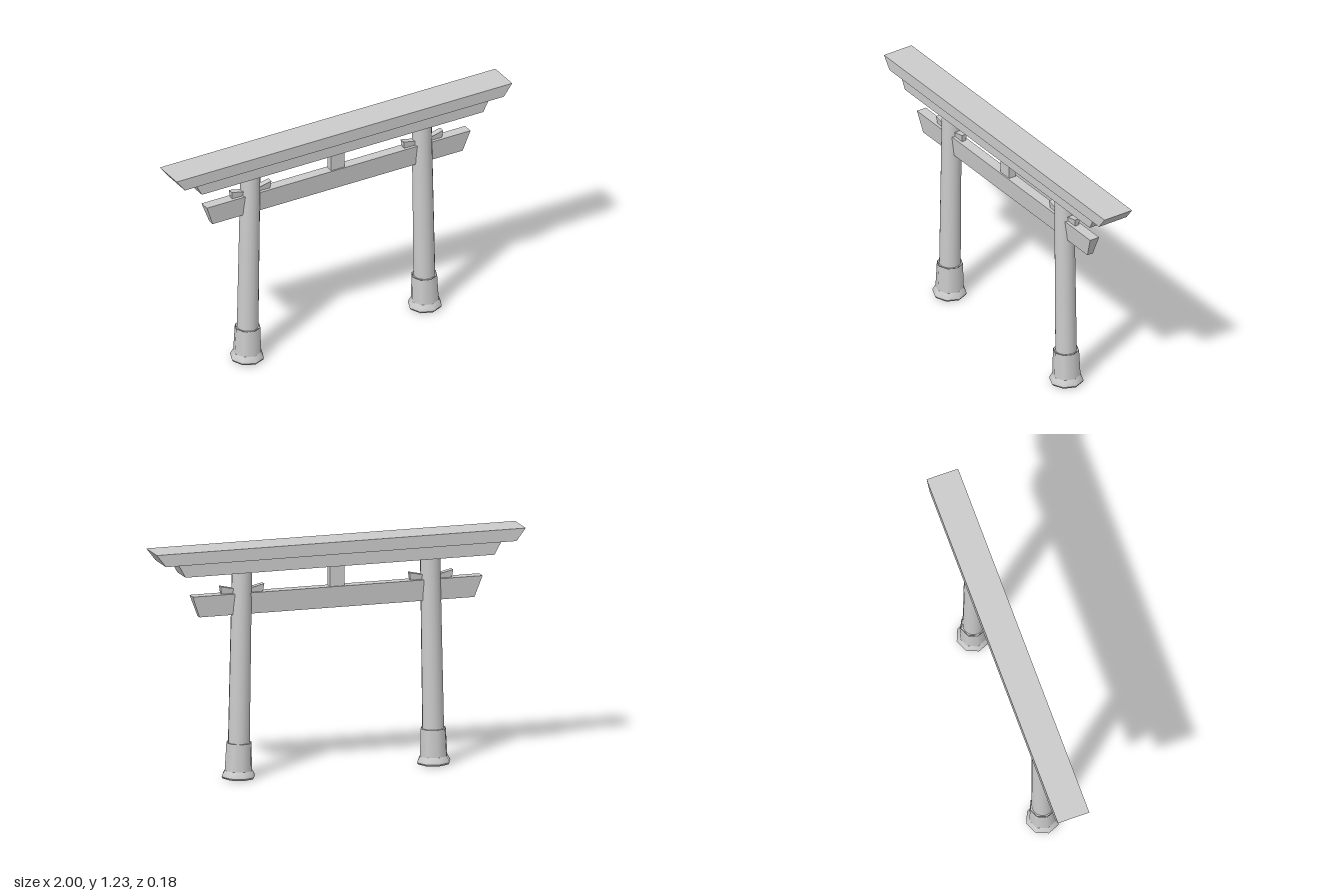
import * as THREE from 'three';

const material = new THREE.MeshStandardMaterial({ color: 0xcccccc, flatShading: true });
const roundMaterial = new THREE.MeshStandardMaterial({ color: 0xcccccc, side: THREE.DoubleSide });

function addMesh(parent, name, geometry, mat = material) {
  const mesh = new THREE.Mesh(geometry, mat);
  mesh.name = name;
  parent.add(mesh);
  return mesh;
}

// Beam whose half-length and half-depth differ between bottom and top;
// dip lowers the middle of the top edge.
function beam(y0, y1, bottom, top, dip = 0) {
  const geometry = new THREE.BoxGeometry(2, 1, 2, dip ? 2 : 1, 1, 1);
  const p = geometry.attributes.position;
  for (let i = 0; i < p.count; i++) {
    const isTop = p.getY(i) > 0;
    const [hx, hz] = isTop ? top : bottom;
    const sag = isTop && Math.abs(p.getX(i)) < 0.5 ? dip : 0;
    p.setXYZ(i, p.getX(i) * hx, (isTop ? y1 : y0) - sag, p.getZ(i) * hz);
  }
  geometry.computeVertexNormals();
  return geometry;
}

// Leaning round column with a flared, hollow octagonal foot
function column(side) {
  const group = new THREE.Group();
  group.name = side > 0 ? 'leftColumn' : 'rightColumn';

  const shaft = new THREE.CylinderGeometry(0.052, 0.057, 1.1, 16, 1, true);
  shaft.translate(0, 0.55, 0);
  addMesh(group, 'shaft', shaft, roundMaterial);

  const sections = [
    ['footLip', [[0.066, 0.19], [0.05, 0.19]]],
    ['footSleeve', [[0.074, 0.045], [0.068, 0.19]]],
    ['footFlare', [[0.09, 0.012], [0.086, 0.025], [0.074, 0.045]]],
    ['footUnderside', [[0.055, 0.003], [0.085, 0.003], [0.09, 0.012]]],
  ];
  for (const [name, points] of sections) {
    const profile = points.map(([r, y]) => new THREE.Vector2(r, y));
    addMesh(group, name, new THREE.LatheGeometry(profile, 8), roundMaterial);
  }

  group.position.x = side * 0.53;
  group.rotation.z = side * 0.018;
  return group;
}

export function createModel() {
  const model = new THREE.Group();
  model.name = 'gate';

  // Stacked roof beams, ends slanting outward
  addMesh(model, 'topBeam', beam(1.163, 1.228, [0.95, 0.086], [1, 0.086]));
  addMesh(model, 'underBeam', beam(1.095, 1.163, [0.838, 0.067], [0.875, 0.067]));

  // Tie beam narrowing downward, with the short centre strut above it
  addMesh(model, 'tieBeam', beam(0.868, 0.98, [0.745, 0.017], [0.785, 0.028]));
  addMesh(model, 'centreStrut', beam(0.975, 1.1, [0.04, 0.02], [0.04, 0.02]));

  // Columns and the wedges driven through them
  for (const side of [-1, 1]) {
    model.add(column(side));
    const wedge = addMesh(model, side > 0 ? 'leftWedge' : 'rightWedge',
      beam(0.978, 1.021, [0.112, 0.011], [0.118, 0.016], 0.026));
    wedge.position.x = side * 0.512;
  }
  return model;
}
